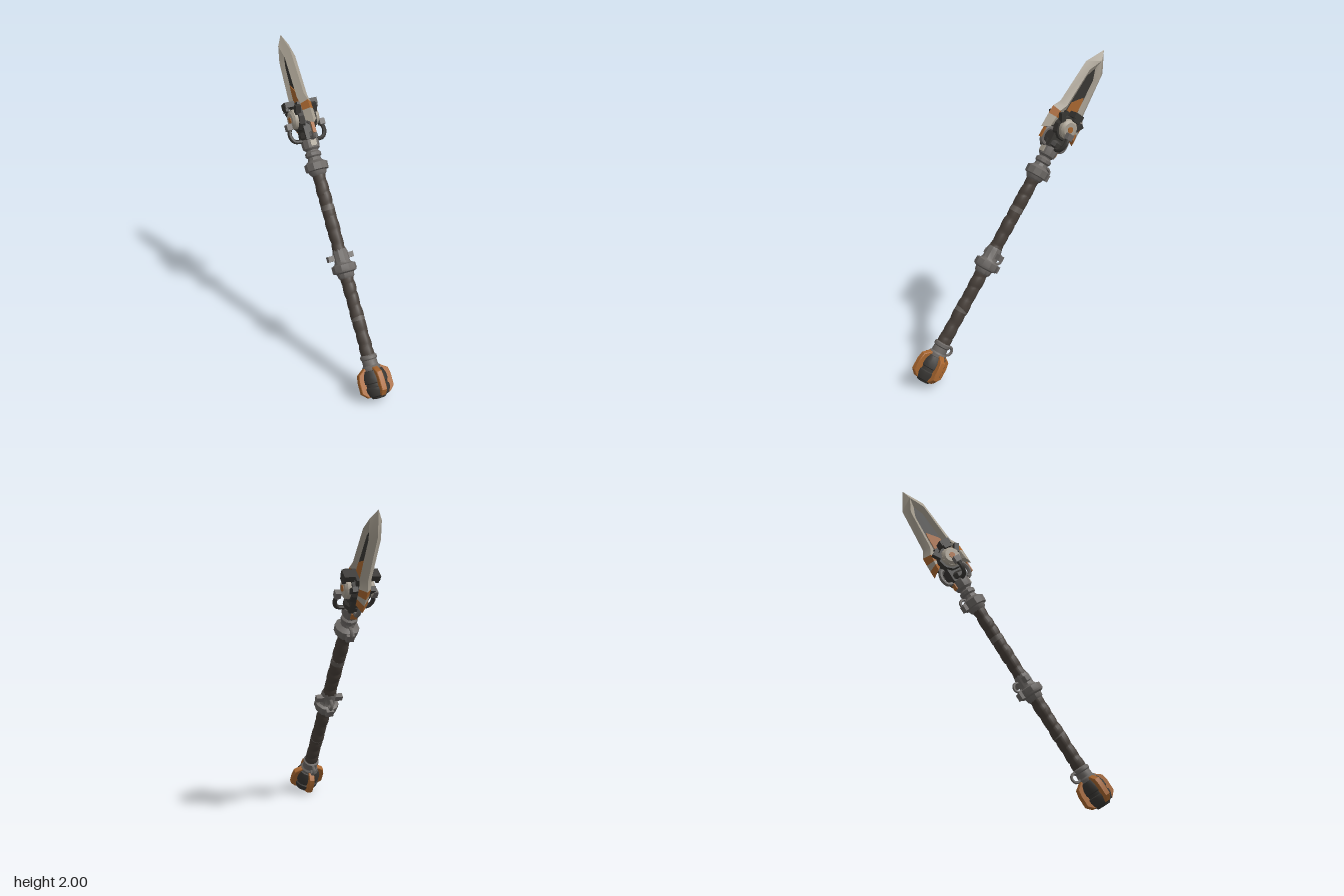
import * as THREE from 'three';
import { toCreasedNormals } from 'three/addons/utils/BufferGeometryUtils.js';

const mat = (name, color, side = THREE.FrontSide) => {
  const m = new THREE.MeshStandardMaterial({ color, side });
  m.name = name;
  return m;
};

export function createModel() {
  const pale = mat('pale steel', 0xa8a092, THREE.DoubleSide);
  const orange = mat('orange paint', 0xa8662f, THREE.DoubleSide);
  const metal = mat('grey metal', 0x6c6865);
  const dark = mat('dark metal', 0x383633, THREE.DoubleSide);
  const leather = mat('grip leather', 0x473f39);
  const worn = mat('worn binding', 0x5f5954);

  // The spear is built upright along y, then tilted backwards.
  const spear = new THREE.Group();
  spear.name = 'spear';
  spear.rotation.x = -0.609;
  spear.position.set(0, 0.03, 0.664);

  const add = (name, geo, material, x = 0, y = 0, z = 0, parent = spear) => {
    const m = new THREE.Mesh(toCreasedNormals(geo, 0.6), material);
    m.name = name;
    m.position.set(x, y, z);
    parent.add(m);
    return m;
  };
  const lathe = (name, pts, material, sides = 12) =>
    add(name, new THREE.LatheGeometry(pts.map(p => new THREE.Vector2(...p)), sides), material);
  const box = (name, w, h, d, material, x, y, z) =>
    add(name, new THREE.BoxGeometry(w, h, d), material, x, y, z);

  // Grip: slightly slanted, bulging leather wraps
  const grip = new THREE.CylinderGeometry(0.04, 0.04, 1.24, 14, 112, true);
  const p = grip.attributes.position;
  for (let i = 0; i < p.count; i++) {
    const y = p.getY(i), a = Math.atan2(p.getZ(i), p.getX(i));
    const turn = (y + 0.62) / 0.083 + 0.22 * Math.sin(a + y * 9);
    const f = turn - Math.floor(turn);
    const r = 0.0375 + 0.0065 * Math.sqrt(Math.sin(Math.PI * f)) + 0.0015 * Math.sin(y * 31);
    p.setX(i, Math.cos(a) * r);
    p.setZ(i, Math.sin(a) * r);
  }
  grip.computeVertexNormals();
  add('grip', grip, leather, 0, 0.87, 0);
  for (const [y, h] of [[0.515, 0.03], [1.24, 0.035]])
    add('wornBinding', new THREE.CylinderGeometry(0.043, 0.045, h, 14), worn, 0, y, 0);

  // Pommel core and its four orange fins
  lathe('pommelCore', [[0, 0], [0.042, 0], [0.05, 0.012], [0.072, 0.02], [0.084, 0.055], [0.084, 0.075],
    [0.077, 0.08], [0.077, 0.1], [0.084, 0.105], [0.082, 0.14], [0.066, 0.18], [0, 0.185]], dark, 16);
  const finShape = new THREE.Shape([[0.04, 0.02], [0.077, 0.02], [0.112, 0.052], [0.112, 0.125],
    [0.103, 0.165], [0.058, 0.195], [0.04, 0.195]].map(q => new THREE.Vector2(...q)));
  for (let k = 0; k < 4; k++) {
    const fin = new THREE.ExtrudeGeometry(finShape, { depth: 0.03, bevelSize: 0.004, bevelThickness: 0.004, bevelSegments: 1 });
    fin.translate(-0.003, 0, -0.015);
    add('pommelFin', fin, orange).rotation.y = k * Math.PI / 2;
  }

  // Metal sockets and collars along the shaft
  lathe('lowerSocket', [[0.04, 0.17], [0.058, 0.18], [0.058, 0.2], [0.049, 0.21], [0.047, 0.245],
    [0.054, 0.252], [0.054, 0.27], [0.04, 0.28]], metal);
  lathe('middleCollar', [[0.038, 0.77], [0.052, 0.785], [0.056, 0.81], [0.076, 0.818], [0.08, 0.83],
    [0.078, 0.865], [0.058, 0.872], [0.05, 0.885], [0.05, 0.945], [0.044, 0.965], [0.038, 0.968]], metal, 10);
  lathe('upperCollar', [[0.038, 1.45], [0.052, 1.465], [0.06, 1.485], [0.075, 1.49], [0.077, 1.535],
    [0.06, 1.545], [0.046, 1.555], [0.041, 1.575], [0.052, 1.585], [0.052, 1.605], [0.04, 1.615], [0.04, 1.63]], metal, 10);
  lathe('headSocket', [[0.038, 1.62], [0.055, 1.635], [0.058, 1.66], [0.057, 1.69], [0.045, 1.705], [0, 1.71]], metal, 10);
  box('socketPlate', 0.04, 0.04, 0.008, pale, 0, 1.664, 0.056);
  box('socketPlate', 0.04, 0.04, 0.008, orange, 0, 1.664, -0.056);
  for (const y of [0.235, 0.9, 1.535]) {
    const hoop = add('backHoop', new THREE.TorusGeometry(0.03, 0.01, 6, 14), metal, 0, y, -0.062);
    hoop.rotation.y = Math.PI / 2;
  }
  box('collarLug', 0.05, 0.045, 0.024, metal, 0, 1.51, -0.08);
  box('collarLug', 0.05, 0.045, 0.024, metal, 0, 0.842, -0.082);

  // Head core
  box('headCore', 0.08, 0.25, 0.115, dark, 0, 1.815, 0);
  lathe('headNeck', [[0.05, 1.69], [0.062, 1.705], [0.062, 1.73], [0.05, 1.745]], dark, 10);

  // Curved guard bars on all four sides
  for (let k = 0; k < 4; k++) {
    const out = k % 2 ? [[0.05, 1.8], [0.088, 1.79], [0.104, 1.745], [0.088, 1.7], [0.045, 1.69]]
      : [[0.1, 1.795], [0.115, 1.775], [0.121, 1.735], [0.1, 1.698], [0.045, 1.69]];
    const curve = new THREE.CatmullRomCurve3(out.map(([r, y]) => new THREE.Vector3(r, y, 0)));
    add('guardBar', new THREE.TubeGeometry(curve, 16, 0.014, 7), k % 2 ? metal : dark).rotation.y = k * Math.PI / 2;
  }
  box('frontStripe', 0.022, 0.07, 0.008, orange, 0, 1.75, 0.117);

  // Side pods of the hub, mirrored
  for (const s of [1, -1]) {
    const disc = (name, r0, r1, x, w, sides, material) => {
      const g = new THREE.CylinderGeometry(r1, r0, w, sides);
      g.rotateZ(-Math.PI / 2 * s);
      add(name, g, material, s * x, 1.84, 0);
    };
    disc('podRing', 0.088, 0.08, 0.042, 0.034, 10, dark);
    disc('podShell', 0.066, 0.062, 0.068, 0.024, 14, pale);
    disc('podFace', 0.062, 0.046, 0.086, 0.014, 14, pale);
    disc('podMark', 0.02, 0.02, 0.094, 0.006, 10, orange);
    box('podCap', 0.065, 0.036, 0.07, dark, s * 0.08, 1.935, 0);
    box('podCapTip', 0.02, 0.055, 0.05, dark, s * 0.103, 1.922, 0);
    box('barKnob', 0.036, 0.04, 0.042, metal, s * 0.116, 1.795, 0);
    box('collarNub', 0.05, 0.036, 0.034, metal, s * 0.064, 0.918, -0.015);
    for (const t of [1, -1]) {
      const lug = box('podLug', 0.035, 0.06, 0.03, dark, s * 0.055, 1.885, t * 0.075);
      lug.rotation.x = t * 0.6;
    }
  }

  // Blade: sharp outer edge, raised ridge and sunken inner edge, as [z, y] loops
  const outer = [[0, 2.402], [0.083, 2.274], [0.11, 1.975], [0.143, 1.925], [0.146, 1.87], [0.147, 1.825], [0.148, 1.772]];
  const ridge = [[0, 2.33], [0.052, 2.235], [0.072, 1.965], [0.1, 1.915], [0.103, 1.87], [0.106, 1.845], [0.11, 1.802]];
  const inner = [[0, 2.27], [0.03, 2.2], [0.045, 1.965], [0.05, 1.91], [0.053, 1.87], [0.056, 1.85], [0.066, 1.832]];
  const RX = 0.037, IX = 0.014;
  const quads = (name, list, material) => {
    const v = [];
    for (const [a, b, c, d] of list) v.push(...a, ...b, ...c, ...a, ...c, ...d);
    const g = new THREE.BufferGeometry();
    g.setAttribute('position', new THREE.Float32BufferAttribute(v, 3));
    g.computeVertexNormals();
    add(name, g, material);
  };
  const steel = [], painted = [], fuller = [];
  for (const side of [1, -1]) for (const x of [1, -1]) {
    const at = (loop, i, h) => [x * h, loop[i][1], side * loop[i][0]];
    const push = (list, a, b, c, d) => list.push(side * x > 0 ? [a, b, c, d] : [d, c, b, a]);
    for (let i = 0; i < outer.length - 1; i++) {
      const list = i === 3 || (side < 0 && i === 5) ? painted : steel;
      push(list, at(ridge, i, RX), at(ridge, i + 1, RX), at(outer, i + 1, 0), at(outer, i, 0));
      push(list, at(inner, i, IX), at(inner, i + 1, IX), at(ridge, i + 1, RX), at(ridge, i, RX));
      const mid = j => [x * IX, inner[j][1], 0];
      push(fuller, mid(i), mid(i + 1), at(inner, i + 1, IX), at(inner, i, IX));
    }
    // Closed end of each barb
    const e = outer.length - 1;
    push(side < 0 ? painted : steel, at(inner, e, IX), at(inner, e, 0), at(outer, e, 0), at(ridge, e, RX));
  }
  quads('blade', steel, pale);
  quads('bladePaint', painted, orange);
  quads('bladeFuller', fuller, dark);

  // Orange plates in the lower fuller
  const plate = new THREE.Shape([[-0.042, 1.9], [0.042, 1.9], [0.038, 2.0], [0.012, 2.03], [-0.03, 2.07], [-0.036, 2.04]]
    .map(q => new THREE.Vector2(...q)));
  for (const x of [1, -1]) {
    const g = new THREE.ExtrudeGeometry(plate, { depth: 0.006, bevelEnabled: false });
    g.translate(0, 0, -0.003);
    g.rotateY(-Math.PI / 2);
    add('fullerPlate', g, orange, x * 0.016, 0, 0);
  }

  const model = new THREE.Group();
  model.name = 'model';
  model.add(spear);
  return model;
}
